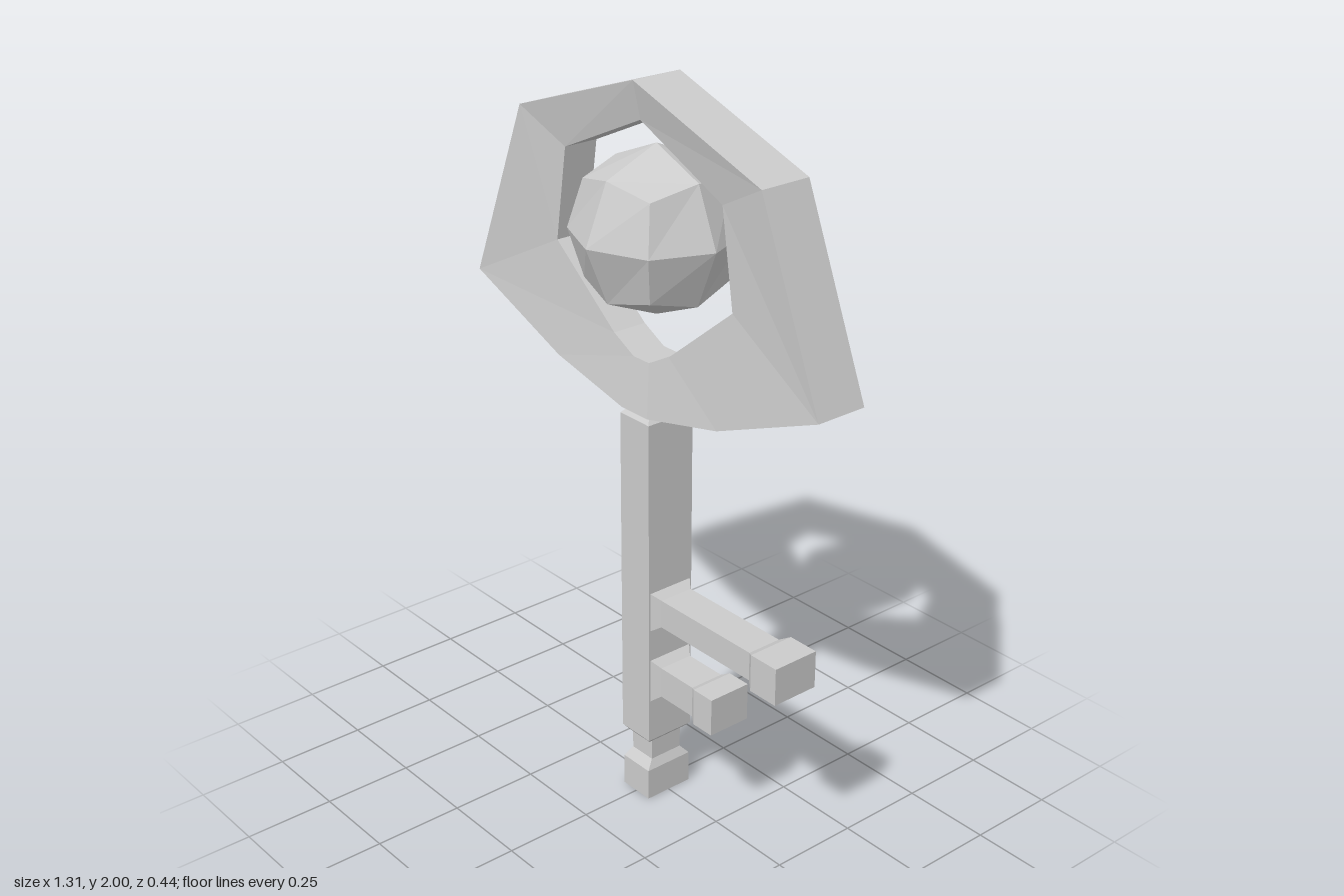
import * as THREE from 'three';

const material = new THREE.MeshStandardMaterial({ color: 0xcccccc, flatShading: true });

// Skin a list of equal-sized point rings; closed joins last to first, otherwise four-sided ends are capped.
function skin(rings, closed) {
  const n = rings[0].length;
  const last = rings.length - 1;
  const positions = rings.flat(2);
  const index = [];
  const quad = (a, b, c, d) => index.push(a, b, c, a, c, d);
  for (let i = 0; i < (closed ? rings.length : last); i++) {
    const p = i * n;
    const q = ((i + 1) % rings.length) * n;
    for (let k = 0; k < n; k++) {
      const m = (k + 1) % n;
      quad(p + k, q + k, q + m, p + m);
    }
  }
  if (!closed) {
    const e = last * n;
    quad(0, 1, 2, 3);
    quad(e, e + 3, e + 2, e + 1);
  }
  const indexed = new THREE.BufferGeometry();
  indexed.setAttribute('position', new THREE.Float32BufferAttribute(positions, 3));
  indexed.setIndex(index);
  const geometry = indexed.toNonIndexed();
  geometry.computeVertexNormals();
  return geometry;
}

// Rectangular bar along +y: sections are [height, half width, half depth].
function bar(sections) {
  return skin(sections.map(([y, w, d]) => [[w, y, d], [-w, y, d], [-w, y, -d], [w, y, -d]]), false);
}

function part(name, geometry) {
  const mesh = new THREE.Mesh(geometry, material);
  mesh.name = name;
  return mesh;
}

// Bow frame: pairs of outer and inner outline points, thinner at the inner rim
function frameGeometry() {
  const half = [
    [0, 2, 0, 1.9],
    [0.45, 1.845, 0.295, 1.765],
    [0.655, 1.345, 0.335, 1.51],
    [0.31, 1.205, 0.106, 1.325],
    [0.05, 1.145, 0.03, 1.285],
  ];
  const mirrored = half.slice(1).reverse().map(([ox, oy, ix, iy]) => [-ox, oy, -ix, iy]);
  const outer = 0.073;
  const inner = 0.05;
  return skin([...half, ...mirrored].map(([ox, oy, ix, iy]) => [
    [ox, oy, outer], [ox, oy, -outer], [ix, iy, -inner], [ix, iy, inner],
  ]), true);
}

// Orb: a cube with 2 x 2 faces per side, pushed out to a sphere
function orbGeometry(radius) {
  const geometry = new THREE.BoxGeometry(1, 1, 1, 2, 2, 2);
  const position = geometry.attributes.position;
  const v = new THREE.Vector3();
  for (let i = 0; i < position.count; i++) {
    v.fromBufferAttribute(position, i).setLength(radius);
    position.setXYZ(i, v.x, v.y, v.z);
  }
  geometry.computeVertexNormals();
  return geometry;
}

// Tooth: flared root, thin stem and thicker square head, pointing to +x
function tooth(name, y, sections) {
  const mesh = part(name, bar(sections).rotateZ(-Math.PI / 2));
  mesh.position.y = y;
  return mesh;
}

export function createModel() {
  const key = new THREE.Group();
  key.name = 'key';

  key.add(part('bowFrame', frameGeometry()));

  const orb = part('orb', orbGeometry(0.22));
  orb.position.y = 1.615;
  key.add(orb);

  // Shaft with foot, lower neck, main bar and upper neck
  key.add(part('shaft', bar([
    [0, 0.052, 0.072],
    [0.09, 0.052, 0.072],
    [0.115, 0.04, 0.05],
    [0.175, 0.04, 0.05],
    [0.175, 0.042, 0.06],
    [0.19, 0.056, 0.073],
    [1.128, 0.056, 0.073],
    [1.142, 0.042, 0.06],
    [1.16, 0.042, 0.06],
  ])));

  key.add(tooth('upperTooth', 0.588, [
    [0.05, 0.06, 0.072],
    [0.08, 0.04, 0.05],
    [0.42, 0.04, 0.05],
    [0.445, 0.052, 0.068],
    [0.535, 0.052, 0.068],
  ]));

  key.add(tooth('lowerTooth', 0.378, [
    [0.05, 0.068, 0.072],
    [0.08, 0.044, 0.05],
    [0.205, 0.044, 0.05],
    [0.225, 0.053, 0.063],
    [0.295, 0.053, 0.063],
  ]));

  return key;
}
